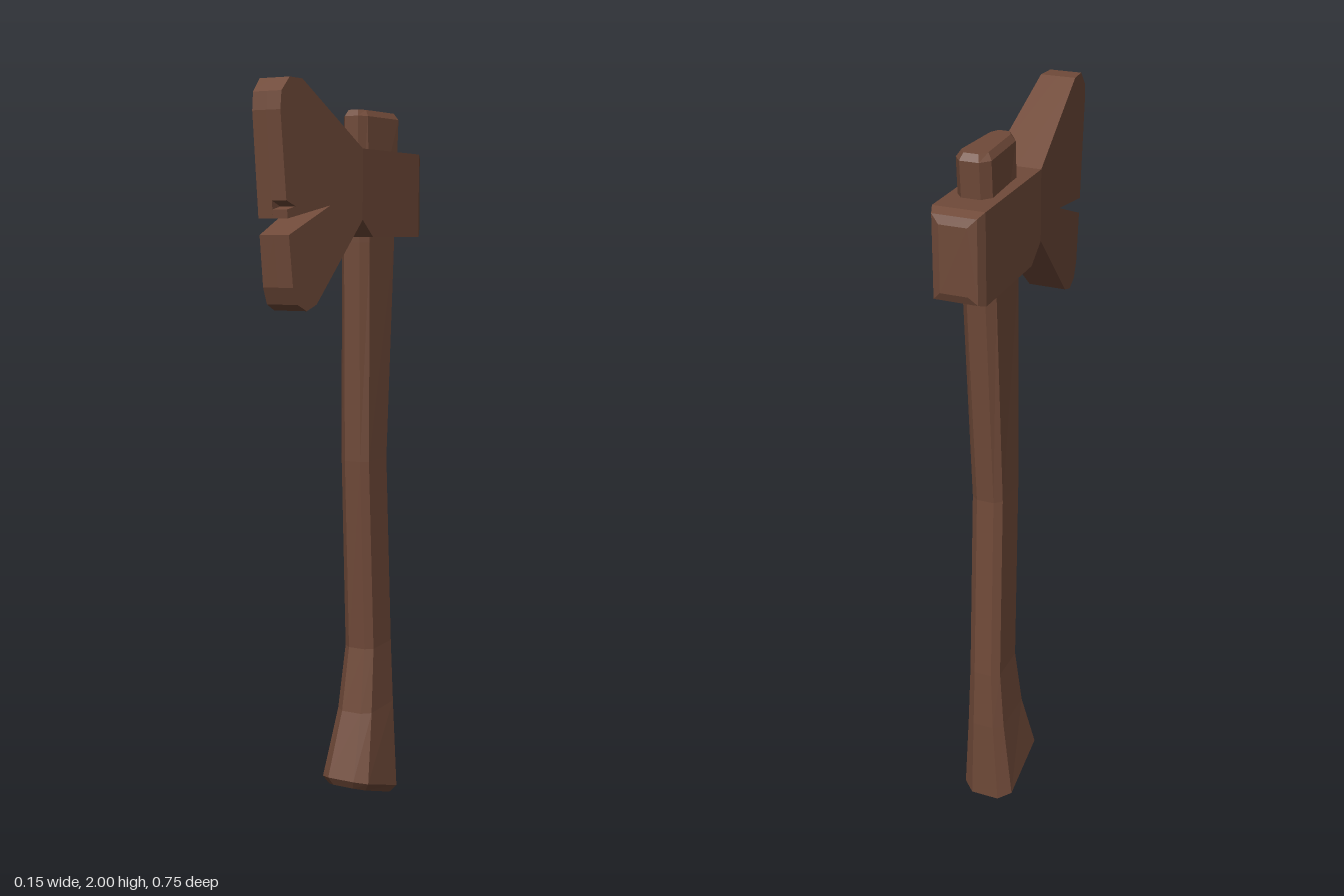
import * as THREE from 'three';

// Skin a stack of equal-sized point loops, with flat caps at both ends
function loft(loops) {
  const pos = [];
  const tri = (a, b, c) => pos.push(...a, ...b, ...c);
  const n = loops[0].length;
  for (let k = 0; k < loops.length - 1; k++) {
    const a = loops[k], b = loops[k + 1];
    for (let i = 0; i < n; i++) {
      const j = (i + 1) % n;
      tri(a[i], a[j], b[j]);
      tri(a[i], b[j], b[i]);
    }
  }
  const first = loops[0], last = loops[loops.length - 1];
  for (let i = 1; i < n - 1; i++) {
    tri(first[0], first[i + 1], first[i]);
    tri(last[0], last[i], last[i + 1]);
  }
  const geo = new THREE.BufferGeometry();
  geo.setAttribute('position', new THREE.Float32BufferAttribute(pos, 3));
  geo.computeVertexNormals();
  return geo;
}

// Chamfered handle section between a front and a back point
function handleLoop([zf, yf, zb, yb, wf, wb]) {
  const at = (x, t) => [x, yb + (yf - yb) * t, zb + (zf - zb) * t];
  const c = 0.12, f = wf * 0.55, b = wb * 0.55;
  return [
    at(-f, 1), at(f, 1), at(wf, 1 - c), at(wb, c),
    at(b, 0), at(-b, 0), at(-wb, c), at(-wf, 1 - c),
  ];
}

// Half thickness of the blade, thinning toward the cutting edge
const halfWidth = (z) => 0.067 - 0.027 * (z / 0.375);

// One side of the blade, from the middle plane outward
function bladeHalf(profile, side) {
  const shape = new THREE.Shape(profile.map(([z, y]) => new THREE.Vector2(z, y)));
  const geo = new THREE.ExtrudeGeometry(shape, { depth: 1, bevelEnabled: false });
  const p = geo.attributes.position;
  for (let i = 0; i < p.count; i++) {
    const z = p.getX(i), y = p.getY(i), t = p.getZ(i);
    p.setXYZ(i, (side > 0 ? 1 - t : -t) * halfWidth(z), y, z);
  }
  geo.computeVertexNormals();
  return geo;
}

export function createModel() {
  const brown = new THREE.MeshStandardMaterial({ color: 0x704a39 });
  brown.name = 'brown';

  const model = new THREE.Group();
  model.name = 'axe';
  const add = (parent, name, geo) => {
    const mesh = new THREE.Mesh(geo, brown);
    mesh.name = name;
    parent.add(mesh);
  };

  // Curved handle: front z, front y, back z, back y, front and back half width
  add(model, 'handle', loft([
    [-0.012, 0.075, -0.212, 0.003, 0.058, 0.058],
    [0.003, 0.1, -0.232, 0.02, 0.073, 0.073],
    [-0.06, 0.28, -0.237, 0.28, 0.054, 0.054],
    [-0.092, 0.46, -0.235, 0.46, 0.045, 0.045],
    [-0.065, 1.0, -0.205, 1.0, 0.043, 0.043],
    [-0.06, 1.6, -0.248, 1.6, 0.043, 0.045],
    [-0.057, 1.935, -0.275, 1.935, 0.036, 0.045],
    [-0.068, 1.952, -0.264, 1.952, 0.026, 0.034],
  ].map(handleLoop)));

  const head = new THREE.Group();
  head.name = 'head';
  head.position.x = -0.002;
  model.add(head);

  // Poll block with rounded back: z, half width, low y, high y
  add(head, 'poll', loft([
    [-0.375, 0.036, 1.646, 1.814],
    [-0.366, 0.057, 1.625, 1.835],
    [-0.34, 0.067, 1.615, 1.845],
    [-0.06, 0.067, 1.615, 1.845],
    [0, 0.067, 1.66, 1.845],
  ].map(([z, w, lo, hi]) => [[w, lo, z], [w, hi, z], [-w, hi, z], [-w, lo, z]])));

  // Blade outline (z, y) with the deep crack; the left side also has a chip
  const lower = [
    [0, 1.845], [0, 1.66], [0.22, 1.445], [0.265, 1.43], [0.305, 1.447],
    [0.325, 1.49], [0.342, 1.62], [0.155, 1.695], [0.347, 1.66],
  ];
  const chip = [[0.349, 1.682], [0.312, 1.69], [0.352, 1.704]];
  const upper = [[0.375, 1.92], [0.37, 1.965], [0.335, 2.0], [0.28, 2.0]];
  add(head, 'bladeRight', bladeHalf([...lower, ...upper], -1));
  add(head, 'bladeLeft', bladeHalf([...lower, ...chip, ...upper], 1));

  return model;
}
